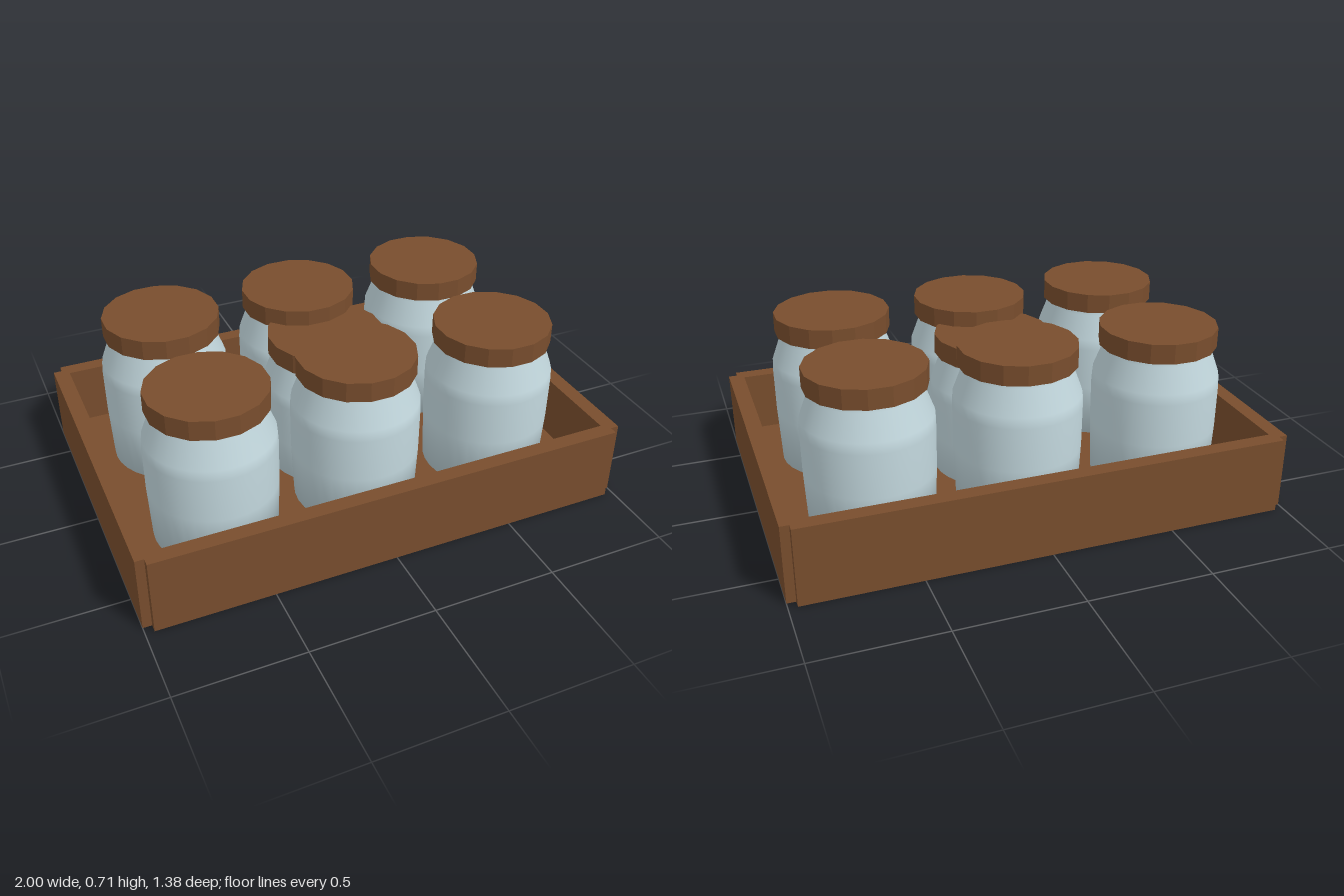
import * as THREE from 'three';

export function createModel() {
  const model = new THREE.Group();
  const wood = new THREE.MeshStandardMaterial({ color: 0x784d2d });
  wood.name = 'brown wood';
  const glass = new THREE.MeshStandardMaterial({ color: 0xc3d8de });
  glass.name = 'pale blue glass';

  const add = (parent, name, geometry, material, x, y, z) => {
    const mesh = new THREE.Mesh(geometry, material);
    mesh.name = name;
    mesh.position.set(x, y, z);
    parent.add(mesh);
    return mesh;
  };

  // Crate: long walls stop short of the corners, leaving small notches
  const crate = new THREE.Group();
  crate.name = 'crate';
  model.add(crate);
  const H = 0.315, T = 0.063;
  const longWall = new THREE.BoxGeometry(1.93, H, T);
  const endWall = new THREE.BoxGeometry(T, H, 1.316);
  add(crate, 'floor', new THREE.BoxGeometry(1.9, T, 1.28), wood, 0, T / 2, 0);
  for (const s of [1, -1]) {
    add(crate, s > 0 ? 'frontWall' : 'backWall', longWall, wood, 0, H / 2, s * (0.69 - T / 2));
    add(crate, s > 0 ? 'leftWall' : 'rightWall', endWall, wood, s * (1 - T / 2), H / 2, 0);
  }

  // Jar body is smooth, with a rounded shoulder; the lid is faceted
  const profile = [
    [0, 0], [0.245, 0], [0.254, 0.22], [0.255, 0.4], [0.252, 0.445], [0.215, 0.545], [0.215, 0.585],
  ].map(([r, y]) => new THREE.Vector2(r, y));
  const bodyGeometry = new THREE.LatheGeometry(profile, 32);
  const lidGeometry = new THREE.CylinderGeometry(0.235, 0.235, 0.08, 16).rotateY(Math.PI / 16).toNonIndexed();
  lidGeometry.computeVertexNormals();

  const addJar = (x, y, z) => {
    const jar = new THREE.Group();
    jar.name = 'jar';
    jar.position.set(x, y, z);
    add(jar, 'jarBody', bodyGeometry, glass, 0, 0, 0);
    add(jar, 'lid', lidGeometry, wood, 0, 0.605, 0);
    model.add(jar);
  };

  // Two rows of three, plus one sunken jar in the middle
  for (const x of [-0.595, 0, 0.595]) {
    for (const z of [-0.292, 0.29]) addJar(x, 0.065, z);
  }
  addJar(0, 0.001, 0);

  return model;
}
